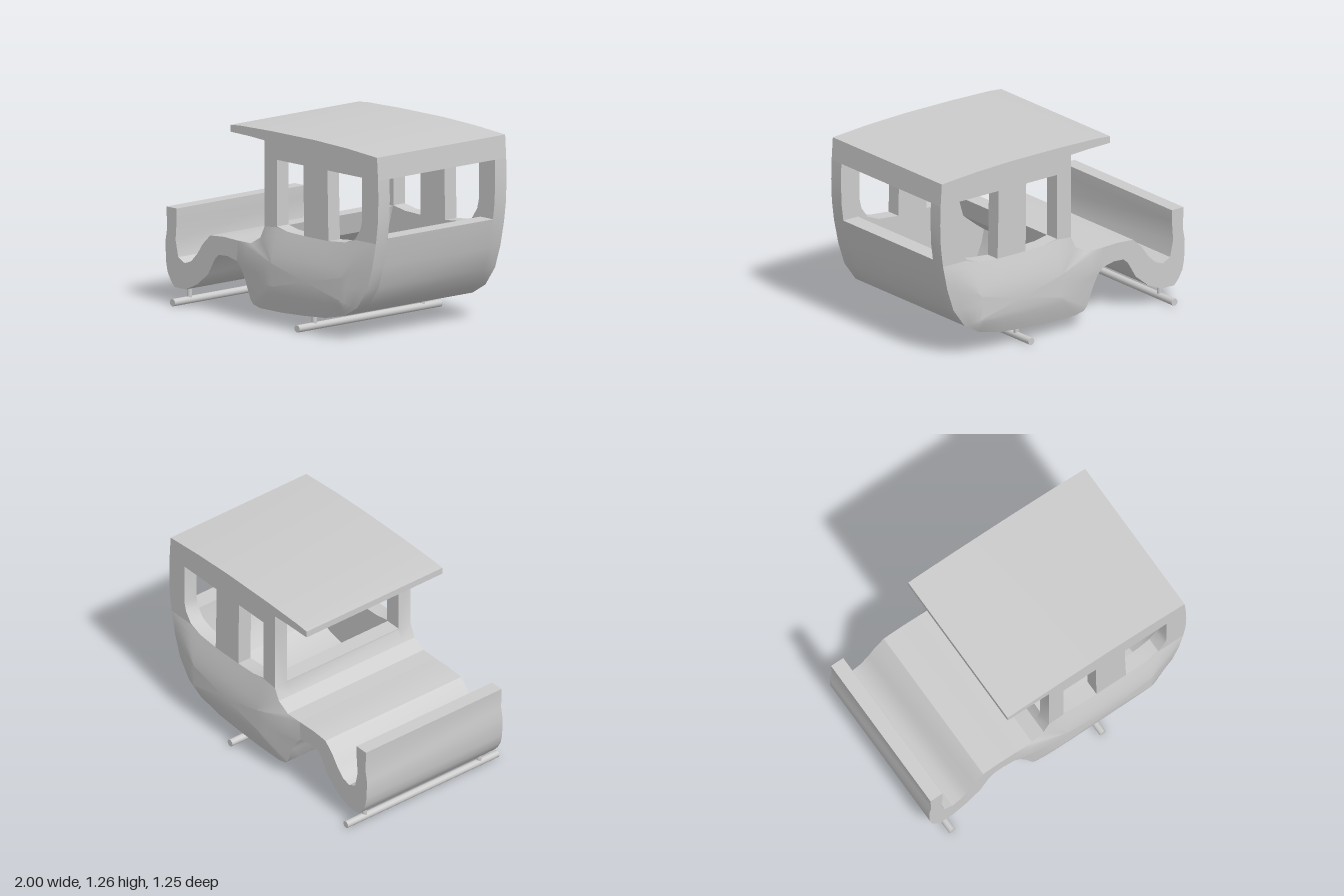
import * as THREE from 'three';
import { toCreasedNormals } from 'three/addons/utils/BufferGeometryUtils.js';

const HALF = 0.56;   // half width of the flat body
const INNER = 0.46;  // half width of the cabin interior

const material = new THREE.MeshStandardMaterial({ color: 0xcccccc });

function mesh(name, geometry) {
  const m = new THREE.Mesh(geometry, material);
  m.name = name;
  return m;
}

// Extrude a side profile from z0 to z1, smoothing only the gentle bends
function slab(name, points, z0, z1) {
  const shape = new THREE.Shape(points.map(([x, y]) => new THREE.Vector2(x, y)));
  const geo = new THREE.ExtrudeGeometry(shape, { depth: z1 - z0, bevelEnabled: false });
  geo.translate(0, 0, z0);
  return mesh(name, toCreasedNormals(geo, 0.5));
}

// Outer contour of the cabin tub: down the front, along the belly, up the rear
const hull = [
  [-0.07, 0.63], [-0.11, 0.55], [-0.2, 0.5], [-0.32, 0.5], [-0.33, 0.365],
  [-0.29, 0.325], [-0.25, 0.25], [-0.2, 0.13], [-0.175, 0.105], [-0.11, 0.09],
  [0.1, 0.09], [0.3, 0.1], [0.5, 0.115], [0.68, 0.155], [0.8, 0.225],
  [0.89, 0.35], [0.94, 0.5], [0.975, 0.665],
];

// Inner contour of the hollow tub, from the rear sill to the front sill
const lining = [
  [0.98, 0.69], [0.86, 0.69], [0.83, 0.5], [0.78, 0.38], [0.72, 0.29], [0.62, 0.24],
  [0.48, 0.21], [0.2, 0.19], [-0.11, 0.19], [-0.15, 0.28], [-0.17, 0.37],
  [-0.1, 0.42], [0, 0.5], [0.04, 0.64], [-0.07, 0.64],
];

// Posts and window sills above the hull, from rear to front
const posts = [
  [0.993, 0.8], [0.998, 0.95], [0.995, 1.08],
  [0.845, 1.08], [0.845, 0.8], [0.83, 0.74], [0.78, 0.67], [0.69, 0.635], [0.53, 0.62],
  [0.525, 0.8], [0.52, 1.08], [0.295, 1.08], [0.3, 0.62],
  [0.15, 0.625], [0.045, 0.645], [0.045, 1.08], [-0.07, 1.08],
];

// Dashboard, footwell and driver's bench
const bench = [
  [-0.99, 0.625], [-0.985, 0.48], [-1, 0.4], [-0.995, 0.27], [-0.98, 0.2], [-0.95, 0.15],
  [-0.915, 0.11], [-0.81, 0.11], [-0.7, 0.16], [-0.6, 0.24], [-0.535, 0.35], [-0.5, 0.38],
  [-0.42, 0.385], [-0.33, 0.365], [-0.32, 0.5], [-0.45, 0.505], [-0.53, 0.5], [-0.58, 0.495],
  [-0.65, 0.43], [-0.7, 0.36], [-0.76, 0.3], [-0.82, 0.28], [-0.88, 0.31],
  [-0.905, 0.42], [-0.895, 0.55], [-0.895, 0.625],
];

const roof = [
  [-0.39, 1.2], [-0.2, 1.197], [-0.07, 1.19], [-0.07, 1.08], [0.995, 1.08], [0.985, 1.23],
  [0.7, 1.25], [0.4, 1.26], [0, 1.26], [-0.3, 1.253], [-0.39, 1.245],
];

// Softly swollen door panel: rings shrink from the hull outline to a small plateau
function bulgeGeometry() {
  const sill = [[0.79, 0.665], [0.69, 0.635], [0.52, 0.62], [0.3, 0.62], [0.15, 0.625], [0.045, 0.64]];
  const outline = [...hull, ...sill];
  const n = outline.length;
  const rings = [0, 0.25, 0.5, 0.75, 1];
  const pos = [], idx = [];
  for (const t of rings) {
    for (const [x, y] of outline) {
      const px = THREE.MathUtils.clamp(x, 0.05, 0.69);
      const py = THREE.MathUtils.clamp(y, 0.26, 0.41);
      const z = HALF + 0.05 * (0.6 * t + 0.4 * Math.sin(t * Math.PI / 2));
      pos.push(x + (px - x) * t, y + (py - y) * t, z);
    }
  }
  pos.push(0.37, 0.335, HALF + 0.054);
  const centre = rings.length * n;
  for (let r = 0; r < rings.length; r++) {
    for (let i = 0; i < n; i++) {
      const a = r * n + i, b = r * n + (i + 1) % n;
      if (r === rings.length - 1) idx.push(a, b, centre);
      else idx.push(a, b, b + n, a, b + n, a + n);
    }
  }
  const geo = new THREE.BufferGeometry();
  geo.setAttribute('position', new THREE.Float32BufferAttribute(pos, 3));
  geo.setIndex(idx);
  geo.computeVertexNormals();
  return geo;
}

// Axle rod with two short struts up to the body
function axle(name, x) {
  const g = new THREE.Group();
  g.name = name;
  const rod = mesh('axleRod', new THREE.CylinderGeometry(0.024, 0.024, 1.25, 16));
  rod.rotation.x = Math.PI / 2;
  rod.position.set(x, 0.024, 0);
  g.add(rod);
  for (const z of [-0.47, 0.475]) {
    const strut = mesh('axleStrut', new THREE.CylinderGeometry(0.017, 0.017, 0.09, 12));
    strut.position.set(x, 0.08, z);
    g.add(strut);
  }
  return g;
}

export function createModel() {
  const model = new THREE.Group();
  model.name = 'carriage';

  model.add(slab('driverBench', bench, -HALF, HALF));
  model.add(slab('cabinTub', [...hull, ...lining], -INNER, INNER));
  model.add(slab('roof', roof, -HALF, HALF));

  // Mirrored cabin sides with posts and swollen panels
  for (const s of [1, -1]) {
    const side = new THREE.Group();
    side.name = s > 0 ? 'frontCabinSide' : 'backCabinSide';
    side.add(slab('windowFrame', [...hull, ...posts], INNER, HALF));
    side.add(mesh('swollenPanel', bulgeGeometry()));
    side.scale.z = s;
    model.add(side);
  }

  model.add(axle('benchAxle', -0.865));
  model.add(axle('cabinAxle', 0.305));
  return model;
}
